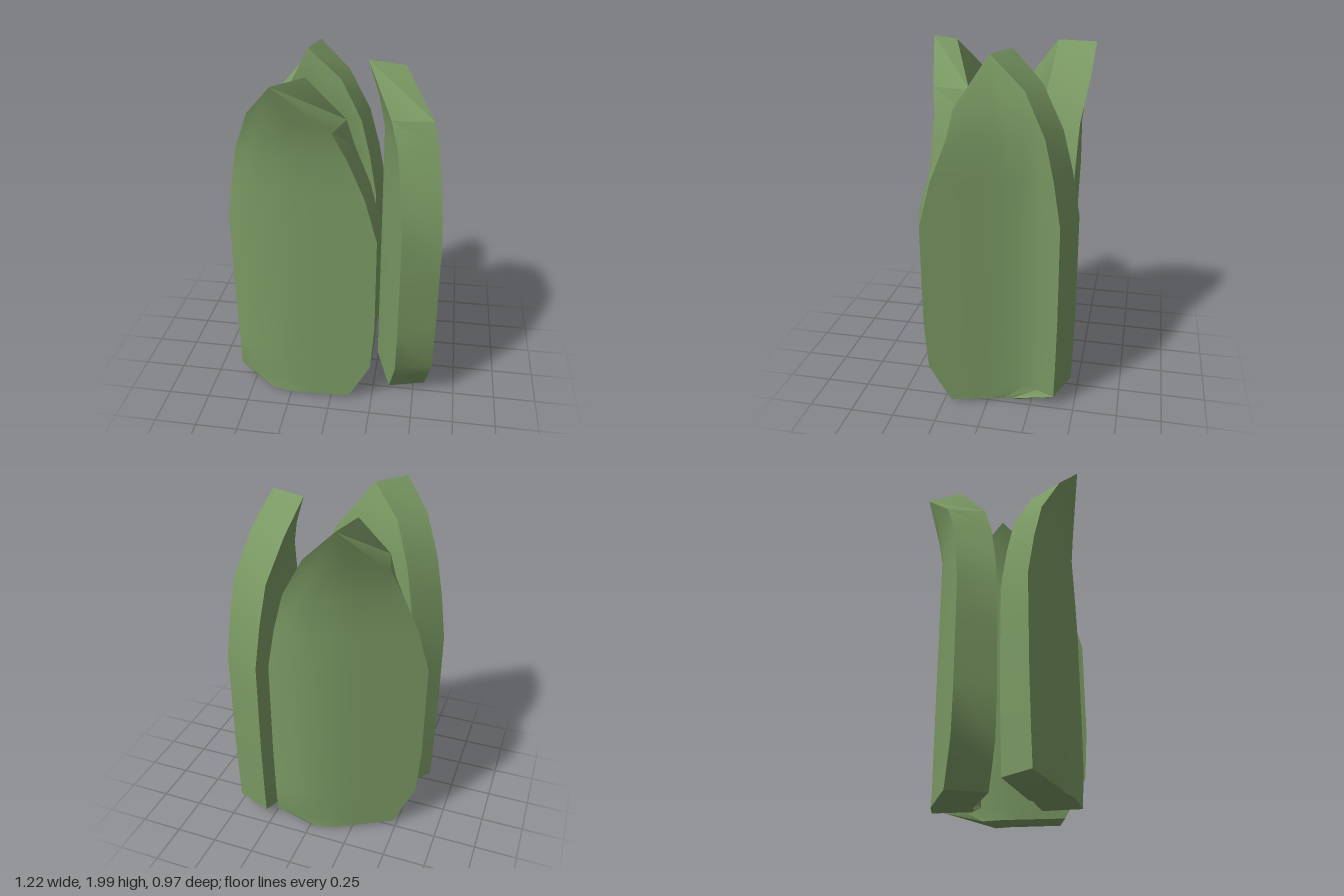
import * as THREE from 'three';
import { toCreasedNormals } from 'three/addons/utils/BufferGeometryUtils.js';

const THICKNESS = 0.226;

// Plate outline, bottom to tip: left x, left y, right x, right y
const ROWS = [
  [-0.37, 0.01, 0.11, 0.03], [-0.60, 0.08, 0.18, 0.155], [-0.605, 0.27, 0.24, 0.27],
  [-0.61, 0.55, 0.26, 0.55], [-0.61, 0.84, 0.26, 0.84], [-0.61, 1.13, 0.26, 1.13],
  [-0.57, 1.38, 0.19, 1.38], [-0.52, 1.60, 0.095, 1.60], [-0.42, 1.83, 0.02, 1.75],
  [-0.27, 2.0, -0.27, 2.0],
];

// Bend across the width: x, depth of the convex face, lean of the thickness
const BEND = [
  [-0.61, 0.23, 0.66], [-0.47, 0.335, 0.57], [-0.25, 0.387, 0.27], [0, 0.39, 0.06], [0.26, 0.39, 0],
];

function bendAt(x) {
  let i = 0;
  while (i < BEND.length - 2 && x > BEND[i + 1][0]) i++;
  const a = BEND[i], b = BEND[i + 1];
  const t = (x - a[0]) / (b[0] - a[0]);
  return [THREE.MathUtils.lerp(a[1], b[1], t), THREE.MathUtils.lerp(a[2], b[2], t)];
}

// Matching points on the convex and concave faces; the tip flares outwards
function pointPair(x, y) {
  const [depth, lean] = bendAt(x);
  const flare = Math.pow(Math.max(0, (y - 1.6) / 0.4), 1.5);
  const z = depth + 0.103 * flare;
  const angle = THREE.MathUtils.lerp(lean, 0.66, flare);
  return [
    new THREE.Vector3(x, y, z),
    new THREE.Vector3(x + THICKNESS * Math.sin(angle), y, z - THICKNESS * Math.cos(angle)),
  ];
}

function plateGeometry() {
  const cols = 8;
  const grid = ROWS.map(([xl, yl, xr, yr]) => Array.from({ length: cols + 1 }, (_, c) => {
    const t = c / cols;
    return pointPair(THREE.MathUtils.lerp(xl, xr, t), THREE.MathUtils.lerp(yl, yr, t));
  }));
  const positions = [];
  const tri = (a, b, c) => {
    if (new THREE.Triangle(a, b, c).getArea() < 1e-7) return;
    for (const p of [a, b, c]) positions.push(p.x, p.y, p.z);
  };
  const quad = (a, b, c, d) => { tri(a, b, c); tri(a, c, d); };

  // Convex and concave faces
  const last = ROWS.length - 1;
  for (let r = 0; r < last; r++) {
    for (let c = 0; c < cols; c++) {
      const q = [grid[r][c], grid[r][c + 1], grid[r + 1][c + 1], grid[r + 1][c]];
      quad(...q.map((p) => p[0]));
      quad(...q.map((p) => p[1]).reverse());
    }
  }

  // Rim, running along the bottom, up the right edge and down the left one
  const loop = [...grid[0]];
  for (let r = 1; r <= last; r++) loop.push(grid[r][cols]);
  for (let r = last - 1; r > 0; r--) loop.push(grid[r][0]);
  loop.forEach((p, i) => {
    const n = loop[(i + 1) % loop.length];
    quad(p[1], n[1], n[0], p[0]);
  });

  const geometry = new THREE.BufferGeometry();
  geometry.setAttribute('position', new THREE.Float32BufferAttribute(positions, 3));
  geometry.translate(0.175, 0, -0.31);
  return toCreasedNormals(geometry, 0.5);
}

export function createModel() {
  const model = new THREE.Group();
  model.name = 'curvedPlates';
  const geometry = plateGeometry();
  const material = new THREE.MeshStandardMaterial({ color: 0x7a9963 });

  // Three identical plates, each turned and placed around the centre
  const placements = [
    ['frontPlate', -0.175, 0.31, 0],
    ['leftPlate', 0.34, -0.035, -72.5],
    ['backPlate', -0.19, -0.29, -152],
  ];
  for (const [name, x, z, turn] of placements) {
    const plate = new THREE.Mesh(geometry, material);
    plate.name = name;
    plate.position.set(x, 0, z);
    plate.rotation.y = THREE.MathUtils.degToRad(turn);
    model.add(plate);
  }
  return model;
}
